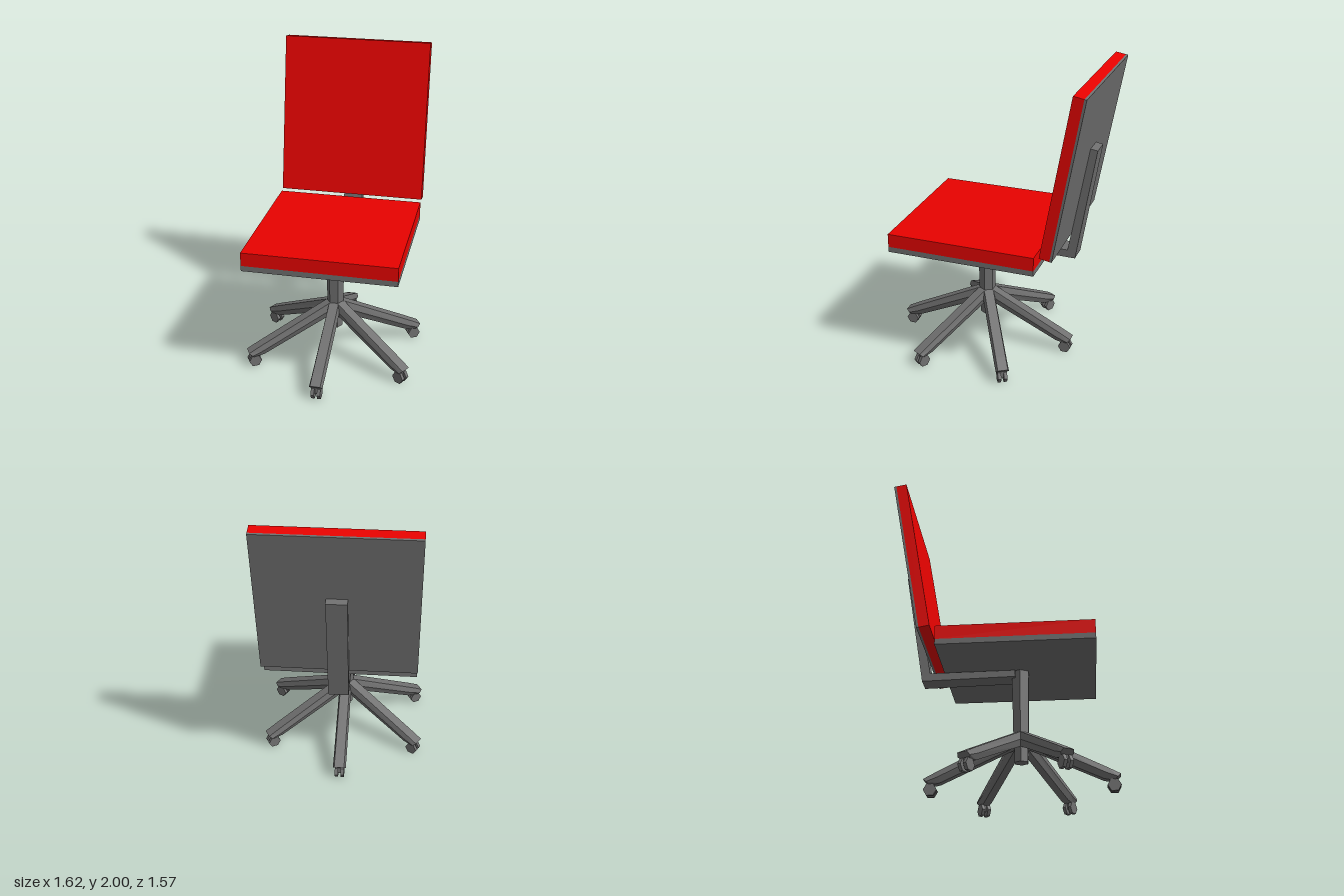
import * as THREE from 'three';

const grey = new THREE.MeshStandardMaterial({ color: 0x707070, flatShading: true });
const red = new THREE.MeshStandardMaterial({ color: 0xe80200, flatShading: true });

function add(parent, name, geometry, material, x = 0, y = 0, z = 0) {
  const mesh = new THREE.Mesh(geometry, material);
  mesh.name = name;
  mesh.position.set(x, y, z);
  parent.add(mesh);
  return mesh;
}

// Six-sided column with flat sides facing front and back
function hexColumn(rTop, rBottom, height) {
  return new THREE.CylinderGeometry(rTop, rBottom, height, 6).rotateY(Math.PI / 6);
}

// Hexagonal beam along +z; each section is [zTop, yTop, zBottom, yBottom, halfWidth]
function hexBeam(sections) {
  const pos = [], index = [], n = 6;
  for (const [zt, yt, zb, yb, w] of sections) {
    const zm = (zt + zb) / 2, ym = (yt + yb) / 2, t = w * 0.75, b = w * 0.6;
    pos.push(-w, ym, zm, -t, yt, zt, t, yt, zt, w, ym, zm, b, yb, zb, -b, yb, zb);
  }
  for (let s = 0; s < sections.length - 1; s++) {
    for (let i = 0; i < n; i++) {
      const a = s * n + i, b = s * n + (i + 1) % n;
      index.push(a, a + n, b, b, a + n, b + n);
    }
  }
  const end = (sections.length - 1) * n;
  for (let i = 1; i < n - 1; i++) {
    index.push(0, i, i + 1, end, end + i + 1, end + i);
  }
  const g = new THREE.BufferGeometry();
  g.setAttribute('position', new THREE.Float32BufferAttribute(pos, 3));
  g.setIndex(index);
  g.computeVertexNormals();
  return g;
}

export function createModel() {
  const model = new THREE.Group();
  model.name = 'swivelChair';

  // The whole chair is turned about its column
  const chair = new THREE.Group();
  chair.name = 'chair';
  chair.position.set(-0.12, 0, 0.0915);
  chair.rotation.y = -0.908;
  model.add(chair);

  // Seat: cushion on a thin board
  add(chair, 'seatBoard', new THREE.BoxGeometry(0.987, 0.036, 0.987), grey, 0, 0.832, 0);
  add(chair, 'seatCushion', new THREE.BoxGeometry(0.987, 0.09, 0.987), red, 0, 0.895, 0);

  // Backrest leaning 10 degrees, pivoting on its lower front edge
  const back = new THREE.Group();
  back.name = 'backrest';
  back.position.set(0, 0.946, -0.528);
  back.rotation.x = -Math.PI / 18;
  chair.add(back);
  add(back, 'backCushion', new THREE.BoxGeometry(0.99, 1.07, 0.068), red, 0, 0.535, -0.034);
  add(back, 'backBoard', new THREE.BoxGeometry(0.99, 1.07, 0.015), grey, 0, 0.535, -0.0755);

  // Bent bracket: arm under the seat, then up behind the backrest
  const profile = new THREE.Shape([
    [0.03, 0.766], [0.638, 0.755], [0.762, 1.522], [0.712, 1.53], [0.586, 0.808], [0.03, 0.81],
  ].map(([x, y]) => new THREE.Vector2(x, y)));
  const bracket = new THREE.ExtrudeGeometry(profile, { depth: 0.13, bevelEnabled: false });
  bracket.translate(0, 0, -0.065).rotateY(Math.PI / 2);
  add(chair, 'backBracket', bracket, grey);

  // Central column
  add(chair, 'column', hexColumn(0.062, 0.055, 0.435), grey, 0, 0.5975, 0);
  add(chair, 'columnFoot', hexColumn(0.05, 0.048, 0.2), grey, 0, 0.3, 0);

  // Six legs, each with a twin-wheel caster
  const legGeometry = hexBeam([
    [0.03, 0.4, 0.02, 0.305, 0.042],
    [0.53, 0.15, 0.51, 0.078, 0.044],
    [0.615, 0.105, 0.575, 0.065, 0.044],
  ]);
  const wheelGeometry = new THREE.CylinderGeometry(0.043, 0.043, 0.022, 6)
    .rotateY(Math.PI / 2).rotateZ(Math.PI / 2).rotateX(Math.PI / 6);
  // Settle the wheel flat on the floor
  wheelGeometry.computeBoundingBox();
  const wheelY = -wheelGeometry.boundingBox.min.y;
  for (let i = 0; i < 6; i++) {
    const leg = new THREE.Group();
    leg.name = 'leg' + (i + 1);
    leg.rotation.y = i * Math.PI / 3;
    chair.add(leg);
    add(leg, 'legBeam', legGeometry, grey);
    add(leg, 'casterStem', new THREE.BoxGeometry(0.016, 0.06, 0.03), grey, 0, 0.06, 0.572);
    for (const side of [-1, 1]) {
      add(leg, 'casterWheel', wheelGeometry, grey, side * 0.02, wheelY, 0.572);
    }
  }
  return model;
}
